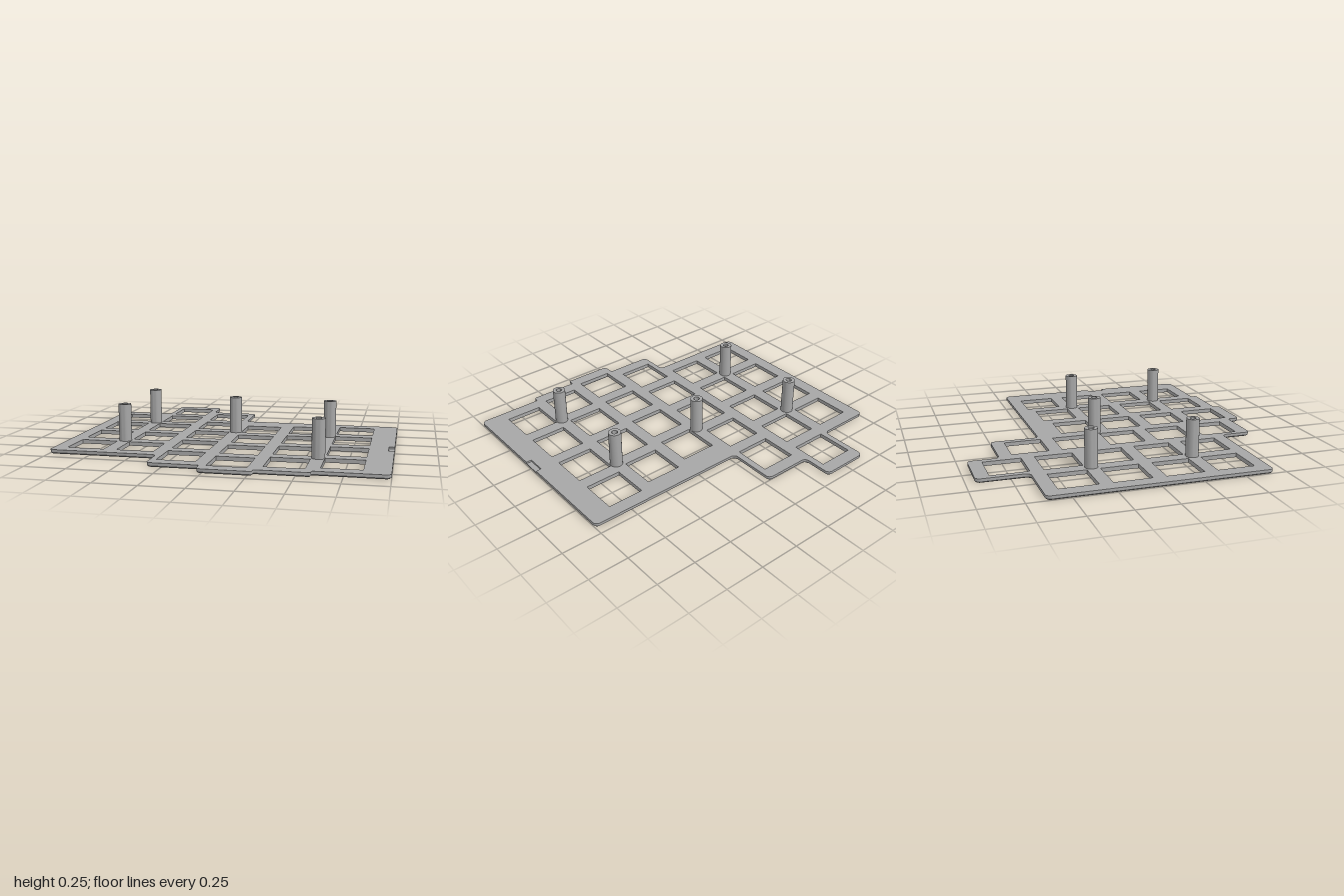
import * as THREE from 'three';
import { toCreasedNormals } from 'three/addons/utils/BufferGeometryUtils.js';

const ROUND = 0.03, SMALL = 0.01;
const SPLIT = 0.014, TOP = 0.025, POST_TOP = 0.255;
const CHAMFER = SPLIT / 2;

// Right-angled outline corners: x, z, corner radius
const front = [
  [1, 0.865, ROUND], [0.583, 0.865, SMALL], [0.583, 0.902, SMALL], [0.276, 0.902, SMALL],
  [0.276, 0.942, SMALL], [-0.032, 0.942, ROUND], [-0.032, 0.865, SMALL],
  [-0.337, 0.865, ROUND], [-0.337, 0.672, ROUND], [-1, 0.672, ROUND],
];
const back = [
  [-1, -0.642, ROUND], [-0.645, -0.642, ROUND], [-0.645, -0.947, ROUND], [-0.34, -0.947, ROUND],
  [-0.34, -0.756, ROUND], [-0.032, -0.756, ROUND], [-0.032, -0.451, ROUND], [1, -0.451, ROUND],
];
const notch = [[1, 0.182, 0.003], [0.965, 0.182, 0.003], [0.965, 0.297, 0.003], [1, 0.297, 0.003]];

// Key columns: x centre, first z centre, number of openings
const STEP = 0.3075, HALF = 0.114;
const columns = [
  [-0.802, -0.444, 4], [-0.495, -0.751, 5], [-0.187, -0.562, 5],
  [0.121, -0.175, 4], [0.429, -0.215, 4], [0.736, -0.254, 4],
];
const posts = [[-0.647, -0.292], [-0.647, 0.325], [-0.033, -0.083], [0.583, -0.06], [0.583, 0.556]];

// Rounded outline, moved inwards by d
function outline(corners, d = 0) {
  const pts = [], n = corners.length;
  const v = corners.map(([x, z]) => new THREE.Vector2(x, z));
  for (let i = 0; i < n; i++) {
    const a = v[i].clone().sub(v[(i + n - 1) % n]).normalize();
    const b = v[(i + 1) % n].clone().sub(v[i]).normalize();
    const r = corners[i][2] + (a.cross(b) > 0 ? -d : d);
    const cx = v[i].x - d * (a.y + b.y) + r * (b.x - a.x);
    const cy = v[i].y + d * (a.x + b.x) + r * (b.y - a.y);
    for (let k = 0; k <= 6; k++) {
      const t = (k / 6) * Math.PI / 2, s = Math.sin(t), c = Math.cos(t);
      pts.push(new THREE.Vector2(cx + r * (a.x * s - b.x * c), cy + r * (a.y * s - b.y * c)));
    }
  }
  return pts;
}

// One layer of the plate with all its square openings
function layer(corners, top, depth, steps) {
  const shape = new THREE.Shape(outline(corners));
  for (const [x, z0, count] of columns) {
    for (let i = 0; i < count; i++) {
      const z = z0 + i * STEP;
      shape.holes.push(new THREE.Path([[-1, -1], [-1, 1], [1, 1], [1, -1]]
        .map(([u, w]) => new THREE.Vector2(x + u * HALF, z + w * HALF))));
    }
  }
  const geo = new THREE.ExtrudeGeometry(shape, { depth, steps, bevelEnabled: false });
  return geo.rotateX(Math.PI / 2).translate(0, top, 0);
}

// Pull the lowest outer rim inwards to form a chamfer
function chamferBottom(geo, corners) {
  const outer = outline(corners), inner = outline(corners, CHAMFER);
  const p = geo.attributes.position;
  for (let i = 0; i < p.count; i++) {
    if (p.getY(i) > 1e-5) continue;
    const k = outer.findIndex(o => Math.hypot(o.x - p.getX(i), o.y - p.getZ(i)) < 1e-5);
    if (k >= 0) p.setXYZ(i, inner[k].x, 0, inner[k].y);
  }
  return geo;
}

export function createModel() {
  const model = new THREE.Group();
  model.name = 'switchPlate';
  const grey = new THREE.MeshStandardMaterial({ color: 0xa6a6a6 });
  grey.name = 'grey';
  const add = (name, geo) => {
    const mesh = new THREE.Mesh(toCreasedNormals(geo, 0.6), grey);
    mesh.name = name;
    model.add(mesh);
    return mesh;
  };

  // Plate: chamfered lower layer, upper layer with the side notch
  const plain = [...back, ...front];
  add('lowerPlate', chamferBottom(layer(plain, SPLIT, SPLIT, 2), plain));
  add('upperPlate', layer([...back, ...notch, ...front], TOP, TOP - SPLIT, 1));

  // Hollow screw posts
  const profile = [[0.039, TOP - 0.005], [0.039, POST_TOP], [0.018, POST_TOP], [0.018, TOP + 0.001], [0, TOP + 0.001]]
    .map(([r, y]) => new THREE.Vector2(r, y));
  for (const [x, z] of posts) add('screwPost', new THREE.LatheGeometry(profile, 32)).position.set(x, 0, z);

  return model;
}
